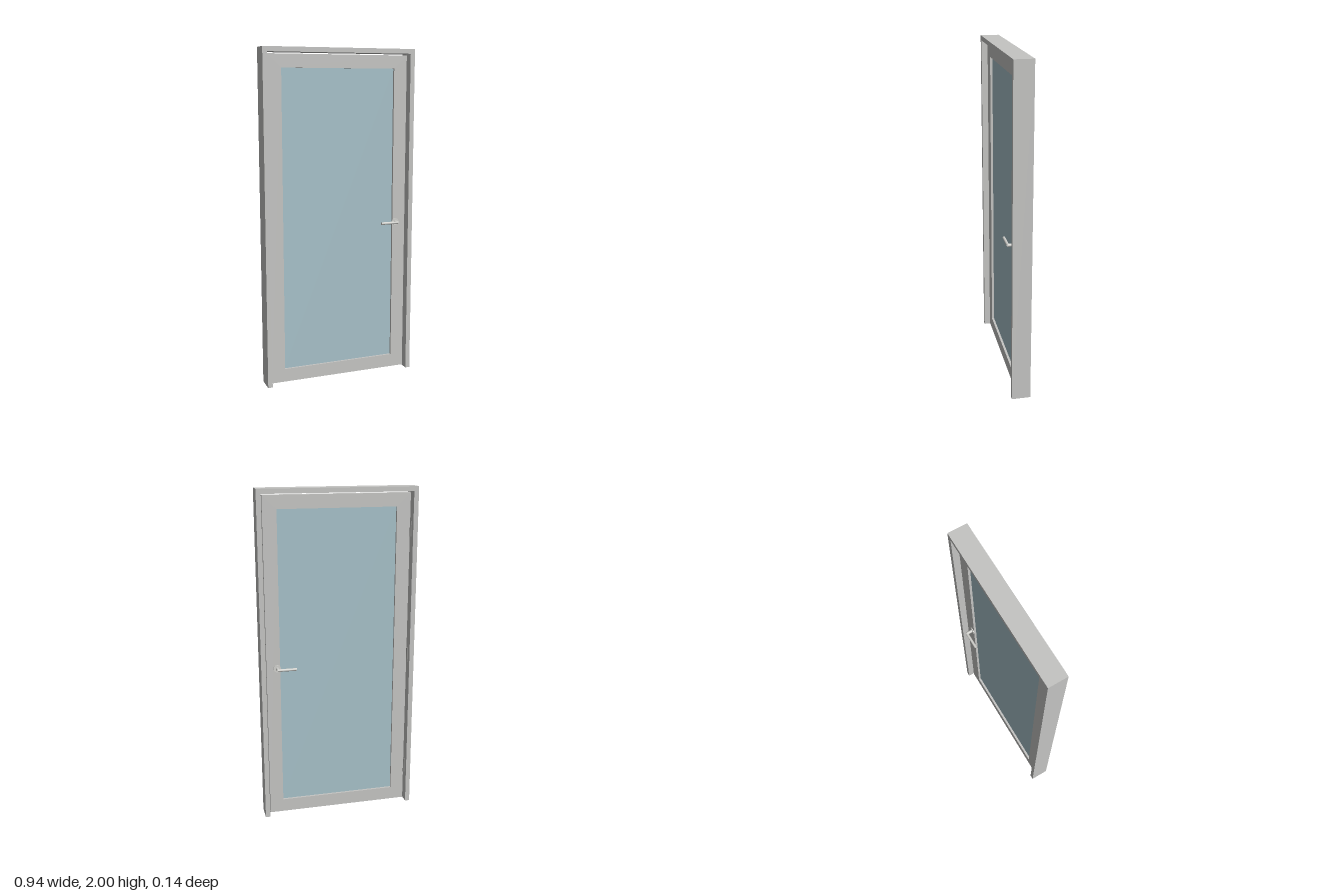
import * as THREE from 'three';

const material = (name, color) => {
  const m = new THREE.MeshStandardMaterial({ color });
  m.name = name;
  return m;
};

export function createModel() {
  const door = new THREE.Group();
  door.name = 'glazedDoor';
  const paint = material('greyPaint', 0xc4c4c2);
  const glass = material('paleBlueGlass', 0xa6c0c8);
  const steel = material('handleSteel', 0xd0d0cc);
  const hingeMetal = material('hingeMetal', 0x8c8c8a);

  const add = (parent, name, geometry, mat, x = 0, y = 0, z = 0) => {
    const mesh = new THREE.Mesh(geometry, mat);
    mesh.name = name;
    mesh.position.set(x, y, z);
    parent.add(mesh);
    return mesh;
  };
  const rectangle = (Type, w, y0, y1) => new Type([
    new THREE.Vector2(-w, y0), new THREE.Vector2(w, y0),
    new THREE.Vector2(w, y1), new THREE.Vector2(-w, y1),
  ]);
  const extrude = (shape, depth) => new THREE.ExtrudeGeometry(shape, { depth, bevelEnabled: false })
    .translate(0, 0, -depth / 2);

  // Frame: two jambs and a head, open at the floor
  const frameShape = new THREE.Shape([
    [-0.47, 0], [-0.442, 0], [-0.442, 1.972], [0.442, 1.972],
    [0.442, 0], [0.47, 0], [0.47, 2], [-0.47, 2],
  ].map(([x, y]) => new THREE.Vector2(x, y)));
  add(door, 'frame', extrude(frameShape, 0.112), paint);

  // Leaf with a glazed opening
  const leafShape = rectangle(THREE.Shape, 0.434, 0.01, 1.963);
  leafShape.holes.push(rectangle(THREE.Path, 0.352, 0.09, 1.885));
  add(door, 'leaf', extrude(leafShape, 0.04), paint);
  add(door, 'glassPane', new THREE.BoxGeometry(0.704, 1.795, 0.012), glass, 0, 0.9875, 0);

  // Hinge knuckles behind the gap on the right
  for (const y of [0.24, 0.985, 1.755]) {
    add(door, 'hinge', new THREE.CylinderGeometry(0.006, 0.006, 0.09, 16), hingeMetal, -0.438, y, -0.023);
  }

  // Lever handles, one on each face
  for (const side of [1, -1]) {
    const handle = new THREE.Group();
    handle.name = side > 0 ? 'frontHandle' : 'backHandle';
    handle.position.set(0.37, 0.955, 0);
    door.add(handle);
    const rose = add(handle, 'rose', new THREE.CylinderGeometry(0.022, 0.022, 0.006, 32), steel, 0, 0, side * 0.023);
    const neck = add(handle, 'neck', new THREE.CylinderGeometry(0.009, 0.009, 0.042, 20), steel, 0, 0, side * 0.041);
    rose.rotation.x = neck.rotation.x = Math.PI / 2;
    const lever = add(handle, 'lever', new THREE.CylinderGeometry(0.008, 0.008, 0.112, 20), steel, -0.054, 0, side * 0.061);
    lever.rotation.z = Math.PI / 2;
  }
  return door;
}
